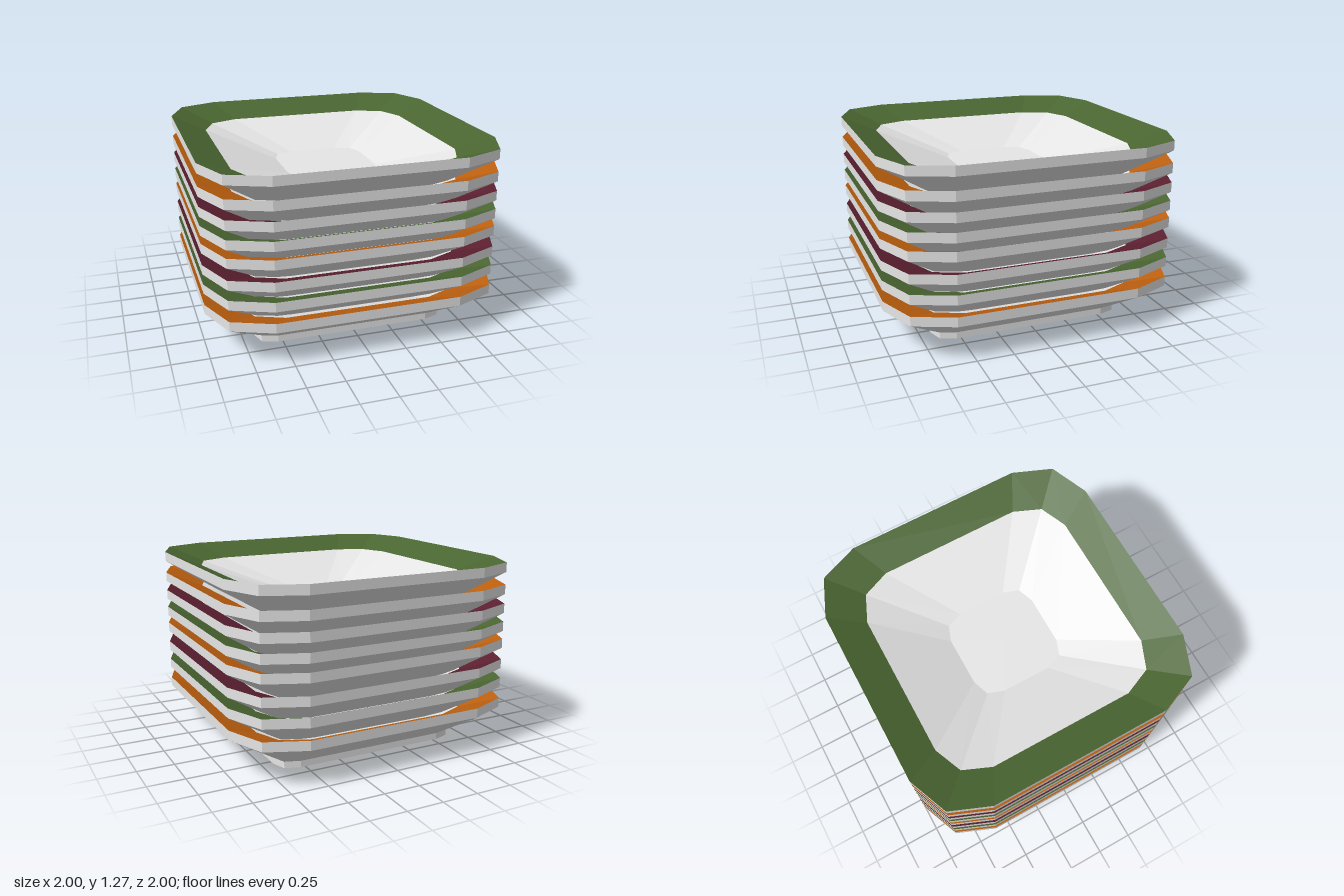
import * as THREE from 'three';

// A cross-section is [half width, half length of straight side, corner, height]
const ringPoints = ([w, e, c, y]) => [
  [w, -e], [w, e], [c, c], [e, w], [-e, w], [-c, c],
  [-w, e], [-w, -e], [-c, -c], [-e, -w], [e, -w], [c, -c],
].map(([x, z]) => [x, y, z]);

// Faceted skin through a list of cross-sections; a zero width closes it
function loft(sections) {
  const rings = sections.map(ringPoints);
  const pos = [];
  for (let k = 0; k < rings.length - 1; k++) {
    const a = rings[k], b = rings[k + 1];
    for (let i = 0; i < 12; i++) {
      const j = (i + 1) % 12;
      if (sections[k + 1][0] > 0) pos.push(...a[i], ...b[i], ...b[j]);
      if (sections[k][0] > 0) pos.push(...a[i], ...b[j], ...a[j]);
    }
  }
  const geo = new THREE.BufferGeometry();
  geo.setAttribute('position', new THREE.Float32BufferAttribute(pos, 3));
  geo.computeVertexNormals();
  return geo;
}

function material(name, color) {
  const m = new THREE.MeshStandardMaterial({ color, flatShading: true });
  m.name = name;
  return m;
}

export function createModel() {
  const white = material('white ceramic', 0xe6e6e6);
  const orange = material('orange glaze', 0xbd600f);
  const green = material('green glaze', 0x4a6631);
  const red = material('dark red glaze', 0x5c2030);

  // Shared bowl parts
  const rimTop = [1, 0.62, 0.89, 0.32];
  const bandEdge = [0.77, 0.5, 0.69, 0.225];
  const outside = loft([
    [0, 0, 0, 0.04],
    [0.62, 0.5, 0.59, 0.04],   // recessed base
    [0.62, 0.5, 0.59, 0],
    [0.67, 0.53, 0.635, 0],    // foot
    [0.67, 0.53, 0.635, 0.045],
    [1, 0.62, 0.89, 0.255],    // flared wall
    rimTop,
  ]);
  const band = loft([rimTop, bandEdge]);
  const inside = loft([bandEdge, [0.32, 0.17, 0.28, 0.06], [0, 0, 0, 0.06]]);

  // Stack of bowls, bottom to top
  const stack = new THREE.Group();
  stack.name = 'bowlStack';
  const heights = [0, 0.145, 0.28, 0.425, 0.545, 0.67, 0.8, 0.95];
  const glazes = [orange, green, red];
  heights.forEach((y, i) => {
    const bowl = new THREE.Group();
    bowl.name = `bowl${i + 1}`;
    const parts = [
      ['bowlOutside', outside, white],
      ['glazedRim', band, glazes[i % 3]],
      ['bowlInside', inside, white],
    ];
    for (const [name, geo, mat] of parts) {
      const mesh = new THREE.Mesh(geo, mat);
      mesh.name = name;
      bowl.add(mesh);
    }
    bowl.position.y = y;
    stack.add(bowl);
  });
  return stack;
}
